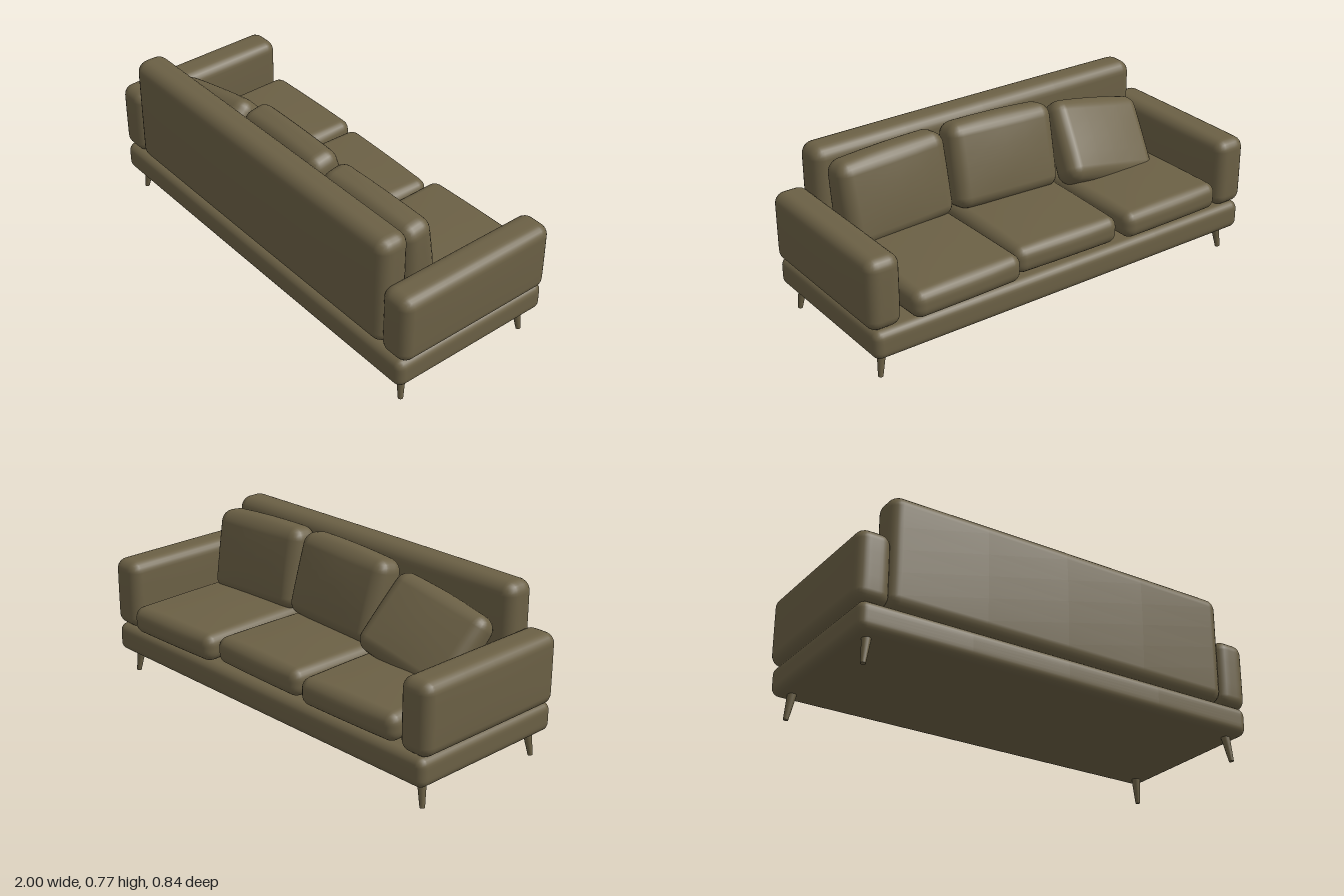
import * as THREE from 'three';
import { mergeVertices } from 'three/addons/utils/BufferGeometryUtils.js';

// Upholstered block: rounded box with a soft bulge per axis and an optional wedge (thicker at the bottom)
function padGeometry(size, r, bulge = [0, 0, 0], wedge = 0) {
  const geo = new THREE.BoxGeometry(2, 2, 2, 10, 10, 10);
  const pos = geo.attributes.position;
  const half = size.map((s) => s / 2);
  const dir = new THREE.Vector3();
  for (let i = 0; i < pos.count; i++) {
    const s = [pos.getX(i), pos.getY(i), pos.getZ(i)];
    // the outer three steps on every side form the rounded edge
    const off = s.map((c) => Math.sign(c) * Math.tan(Math.max(0, (Math.abs(c) - 0.4) / 0.6) * Math.PI / 4));
    const inner = s.map((c, a) => Math.sign(c) * Math.min(Math.abs(c) / 0.4, 1) * (half[a] - r));
    dir.fromArray(off).setLength(r);
    const p = [inner[0] + dir.x, inner[1] + dir.y, inner[2] + dir.z];
    const n = p.map((c, a) => c / half[a]);
    const q = p.map((c, a) => {
      const u = n[(a + 1) % 3], v = n[(a + 2) % 3];
      return c + bulge[a] * n[a] * (1 - u * u) * (1 - v * v);
    });
    q[2] *= 1 - wedge * n[1];
    pos.setXYZ(i, ...q);
  }
  geo.deleteAttribute('normal');
  geo.deleteAttribute('uv');
  const merged = mergeVertices(geo, 1e-5);
  merged.computeVertexNormals();
  return merged;
}

export function createModel() {
  const sofa = new THREE.Group();
  sofa.name = 'sofa';
  const fabric = new THREE.MeshStandardMaterial({ color: 0x6b6045 });
  fabric.name = 'olive brown';

  function add(name, geo, position, rotation = [0, 0, 0]) {
    const mesh = new THREE.Mesh(geo, fabric);
    mesh.name = name;
    mesh.position.set(...position);
    mesh.rotation.set(...rotation, 'YXZ');
    sofa.add(mesh);
    return mesh;
  }

  // Frame: base, backrest and two arms
  add('base', padGeometry([1.96, 0.133, 0.8], 0.038, [0, 0.003, 0.003]), [0, 0.181, 0.015]);
  add('backrest', padGeometry([1.71, 0.515, 0.152], 0.055, [0, 0.004, 0.007]), [0, 0.506, 0.336]);
  for (const side of [1, -1]) {
    add(side > 0 ? 'leftArm' : 'rightArm',
      padGeometry([0.156, 0.322, 0.79], 0.05, [0.004, 0.001, 0.002]), [side * 0.918, 0.406, 0.014]);
  }

  // Seat cushions, each slightly askew
  const seats = [
    ['leftSeat', 0.55, -0.08, 0.67, 0.025],
    ['middleSeat', 0, -0.06, 0.63, -0.025],
    ['rightSeat', -0.555, -0.07, 0.65, 0.015],
  ];
  for (const [name, x, z, depth, yaw] of seats) {
    add(name, padGeometry([0.535, 0.125, depth], 0.046, [0.004, 0.012, 0.006]), [x, 0.322, z], [0, yaw, 0]);
  }

  // Loose back cushions; the right one has slumped forward and sideways
  add('leftBackCushion', padGeometry([0.53, 0.38, 0.165], 0.055, [0.004, 0.01, 0.014], 0.15),
    [0.55, 0.548, 0.172], [0.12, 0.03, -0.03]);
  add('middleBackCushion', padGeometry([0.53, 0.38, 0.165], 0.055, [0.004, 0.01, 0.014], 0.15),
    [0, 0.556, 0.158], [0.2, -0.03, 0.03]);
  add('rightBackCushion', padGeometry([0.5, 0.38, 0.145], 0.055, [0.004, 0.01, 0.012], 0.1),
    [-0.53, 0.5, 0.11], [0.62, 0.17, 0.25]);

  // Tapered legs, splayed outward
  const up = new THREE.Vector3(0, 1, 0);
  for (const side of [1, -1]) {
    for (const [name, zTop, zFoot] of [['backLeg', 0.34, 0.354], ['frontLeg', -0.303, -0.315]]) {
      const top = new THREE.Vector3(side * 0.908, 0.13, zTop);
      const foot = new THREE.Vector3(side * 0.926, 0.001, zFoot);
      const axis = top.clone().sub(foot);
      const leg = add((side > 0 ? 'left ' : 'right ') + name,
        new THREE.CylinderGeometry(0.021, 0.011, axis.length(), 16),
        foot.clone().add(top).multiplyScalar(0.5).toArray());
      leg.quaternion.setFromUnitVectors(up, axis.normalize());
    }
  }
  return sofa;
}
